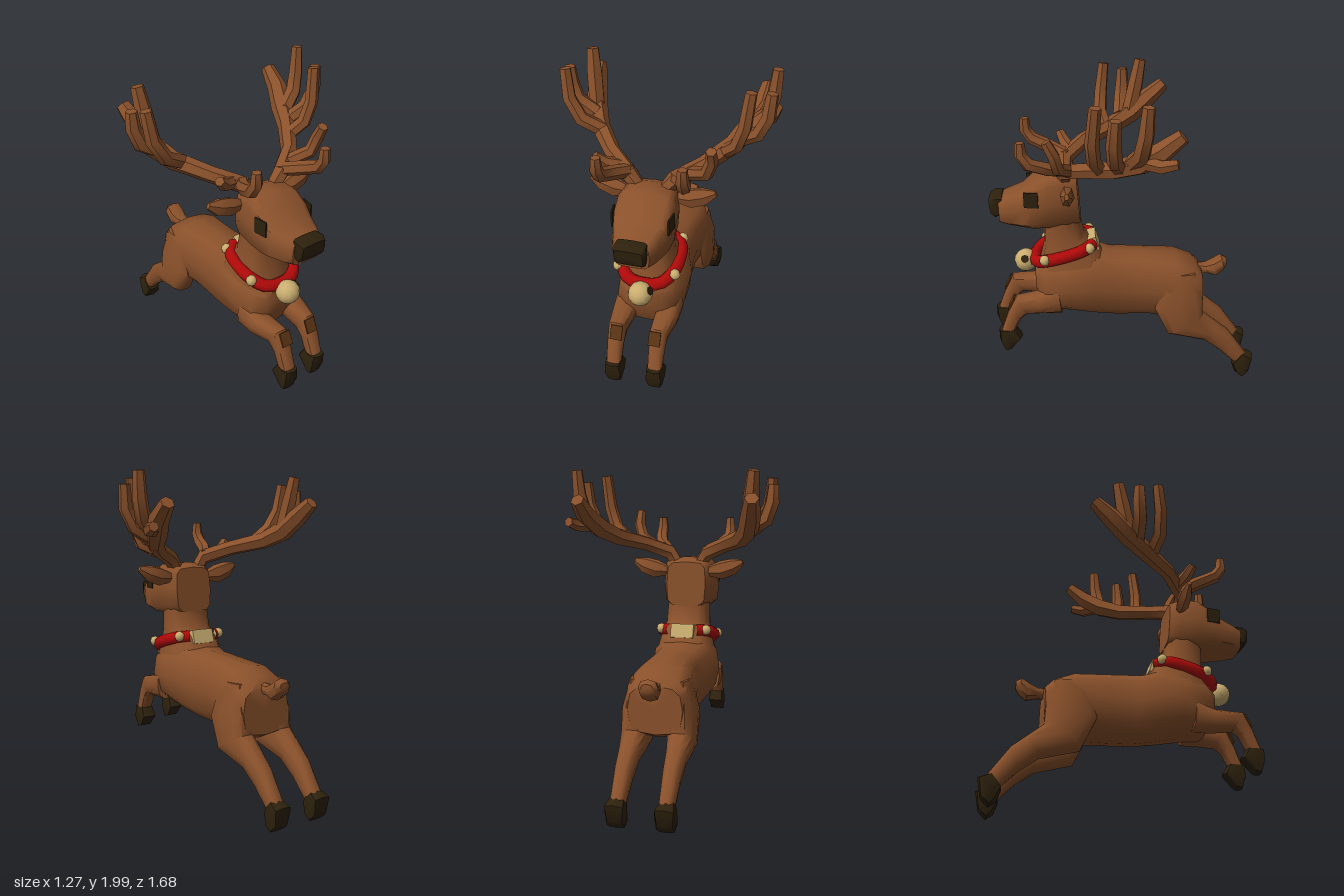
import * as THREE from 'three';
import { toCreasedNormals } from 'three/addons/utils/BufferGeometryUtils.js';

const material = (name, color) => {
  const m = new THREE.MeshStandardMaterial({ color });
  m.name = name;
  return m;
};

// Skins a list of rings (each an array of Vector3) and caps both ends.
function skin(rings) {
  const n = rings[0].length, pos = [], idx = [];
  rings.forEach(r => r.forEach(p => pos.push(p.x, p.y, p.z)));
  for (let i = 0; i < rings.length - 1; i++) {
    for (let j = 0; j < n; j++) {
      const a = i * n + j, b = i * n + (j + 1) % n;
      idx.push(a, b, a + n, b, b + n, a + n);
    }
  }
  [0, rings.length - 1].forEach(k => {
    const c = new THREE.Vector3();
    rings[k].forEach(p => c.addScaledVector(p, 1 / n));
    const ci = pos.length / 3;
    pos.push(c.x, c.y, c.z);
    for (let j = 0; j < n; j++) {
      const a = k * n + j, b = k * n + (j + 1) % n;
      if (k === 0) idx.push(ci, b, a); else idx.push(ci, a, b);
    }
  });
  // Turn the faces outward if the enclosed volume comes out negative
  const v = i => new THREE.Vector3(pos[3 * i], pos[3 * i + 1], pos[3 * i + 2]);
  let volume = 0;
  for (let i = 0; i < idx.length; i += 3) volume += v(idx[i]).dot(v(idx[i + 1]).cross(v(idx[i + 2])));
  if (volume < 0) idx.reverse();
  const g = new THREE.BufferGeometry();
  g.setAttribute('position', new THREE.Float32BufferAttribute(pos, 3));
  g.setIndex(idx);
  return toCreasedNormals(g, 0.8);
}

// Loft of rounded sections: [z1, y1, z2, y2, halfWidth, centreX]
function loft(sections, power = 2.6, sides = 12) {
  const curve = t => Math.sign(t) * Math.abs(t) ** (2 / power);
  return skin(sections.map(([z1, y1, z2, y2, w, cx = 0]) =>
    Array.from({ length: sides }, (_, j) => {
      const a = j / sides * Math.PI * 2, c = curve(Math.cos(a)), s = curve(Math.sin(a));
      return new THREE.Vector3(cx + w * c, (y1 + y2) / 2 + s * (y1 - y2) / 2, (z1 + z2) / 2 + s * (z1 - z2) / 2);
    })));
}

// Round limb through points [x, y, z, radius]
function limb(points, sides = 6) {
  const p = points.map(q => new THREE.Vector3(q[0], q[1], q[2]));
  const u = new THREE.Vector3(0.31, 0.2, 0.93);
  return skin(p.map((c, i) => {
    const t = p[Math.min(i + 1, p.length - 1)].clone().sub(p[Math.max(i - 1, 0)]).normalize();
    u.addScaledVector(t, -u.dot(t)).normalize();
    const w = t.clone().cross(u);
    return Array.from({ length: sides }, (_, j) => {
      const a = j / sides * Math.PI * 2;
      return c.clone().addScaledVector(u, Math.cos(a) * points[i][3]).addScaledVector(w, Math.sin(a) * points[i][3]);
    });
  }));
}

export function createModel() {
  const model = new THREE.Group();
  model.name = 'leapingReindeer';
  const fur = material('brownFur', 0x8a512b);
  const dark = material('darkHoof', 0x2d210d);
  const knee = material('kneeBrown', 0x5a3413);
  const red = material('redCollar', 0xb00909);
  const gold = material('paleGold', 0xcaae70);
  const add = (name, geometry, mat, x = 0, y = 0, z = 0, rx = 0, ry = 0, rz = 0) => {
    const m = new THREE.Mesh(geometry, mat);
    m.name = name;
    m.position.set(x, y, z);
    m.rotation.set(rx, ry, rz);
    model.add(m);
    return m;
  };

  // Torso, neck, head
  add('torso', loft([
    [0.56, 0.82, 0.56, 0.66, 0.11], [0.50, 0.87, 0.50, 0.53, 0.18], [0.36, 0.90, 0.34, 0.52, 0.215],
    [0.20, 0.92, 0.20, 0.49, 0.205], [0.10, 0.89, 0.05, 0.465, 0.18], [-0.10, 0.88, -0.10, 0.46, 0.172],
    [-0.32, 0.86, -0.25, 0.46, 0.195], [-0.44, 0.81, -0.43, 0.44, 0.195], [-0.49, 0.76, -0.49, 0.47, 0.165],
  ], 3), fur);
  add('neck', loft([
    [0.13, 0.88, 0.56, 0.72, 0.19], [0.18, 0.97, 0.53, 0.86, 0.165], [0.25, 1.02, 0.50, 0.98, 0.145],
    [0.27, 1.12, 0.50, 1.10, 0.14], [0.29, 1.28, 0.50, 1.20, 0.14],
  ], 2.9), fur);
  add('head', loft([
    [0.29, 1.41, 0.27, 1.12, 0.13], [0.36, 1.44, 0.34, 1.11, 0.16], [0.47, 1.435, 0.47, 1.10, 0.172],
    [0.56, 1.385, 0.56, 1.10, 0.168], [0.62, 1.33, 0.62, 1.11, 0.155], [0.71, 1.30, 0.71, 1.12, 0.125],
    [0.76, 1.28, 0.76, 1.13, 0.10],
  ], 4.5), fur);
  add('nose', loft([
    [0.74, 1.30, 0.745, 1.18, 0.088], [0.79, 1.30, 0.785, 1.165, 0.092], [0.82, 1.28, 0.81, 1.185, 0.08],
  ], 6), dark);
  add('mouth', new THREE.BoxGeometry(0.12, 0.012, 0.008), dark, 0, 1.155, 0.762);

  // Tail
  add('tail', loft([
    [-0.46, 0.78, -0.47, 0.71, 0.035], [-0.52, 0.775, -0.54, 0.71, 0.045], [-0.57, 0.80, -0.59, 0.695, 0.06],
    [-0.62, 0.83, -0.64, 0.735, 0.058], [-0.655, 0.81, -0.655, 0.765, 0.035],
  ], 2.4, 8), fur);

  // Paired parts
  for (const s of [1, -1]) {
    const side = s > 0 ? 'left' : 'right';
    const at = (x, rows) => rows.map(r => [...r, s * x]);
    add(side + 'Eye', new THREE.BoxGeometry(0.009, 0.095, 0.085), dark, s * 0.167, 1.31, 0.56, 0, s * -0.14, 0);

    const ear = limb([[s * -0.02, 0, 0, 0.03], [s * 0.07, 0.01, 0, 0.062], [s * 0.15, 0.035, 0, 0.055],
      [s * 0.215, 0.065, 0, 0.02]]);
    add(side + 'Ear', ear, fur, s * 0.15, 1.345, 0.345).scale.z = 0.7;

    add(side + 'HindLeg', loft(at(0.14, [
      [-0.44, 0.78, -0.24, 0.78, 0.035], [-0.49, 0.62, -0.18, 0.55, 0.083], [-0.495, 0.49, -0.27, 0.36, 0.085],
      [-0.57, 0.43, -0.51, 0.295, 0.062], [-0.67, 0.35, -0.62, 0.21, 0.053], [-0.79, 0.18, -0.72, 0.11, 0.045],
    ]), 2.8, 10), fur);
    add(side + 'HindHoof', loft(at(0.143, [
      [-0.77, 0.19, -0.705, 0.10, 0.05], [-0.84, 0.165, -0.73, 0.03, 0.066], [-0.82, 0.06, -0.765, 0.005, 0.054],
    ]), 3.2, 8), dark);

    // The right foreleg reaches a little higher and further
    const dz = s > 0 ? 0 : 0.035, dy = s > 0 ? 0 : 0.03;
    const lift = rows => rows.map(([a, b, c, d, w, x]) => [a + dz, b + dy, c + dz, d + dy, w, x]);
    add(side + 'Foreleg', loft([
      ...at(0.13, [[0.42, 0.72, 0.40, 0.53, 0.075], [0.55, 0.67, 0.52, 0.53, 0.07]]),
      ...lift(at(0.12, [[0.69, 0.64, 0.62, 0.52, 0.054], [0.745, 0.53, 0.66, 0.49, 0.049], [0.79, 0.41, 0.71, 0.39, 0.044]])),
    ], 2.8, 10), fur);
    add(side + 'ForeHoof', loft(lift(at(0.12, [
      [0.81, 0.405, 0.70, 0.41, 0.048], [0.81, 0.33, 0.66, 0.35, 0.058], [0.78, 0.26, 0.73, 0.275, 0.045],
    ])), 3.2, 8), dark);
    add(side + 'KneePatch', new THREE.BoxGeometry(0.07, 0.085, 0.009), knee, s * 0.11, 0.592 + dy, 0.719 + dz, -0.47);

    // Small bells on the collar
    [[0.172, 0.912, 0.495], [0.15, 0.975, 0.22]].forEach(([x, y, z], i) =>
      add(side + (i ? 'RearBell' : 'FrontBell'), new THREE.SphereGeometry(0.033, 8, 6), gold, s * x, y, z));
  }

  // Collar, open at the back where the plate sits, and large bell
  const half = [[0.10, 0.87, 0.54], [0.155, 0.905, 0.46], [0.166, 0.935, 0.36], [0.148, 0.962, 0.26], [0.08, 0.972, 0.20]];
  const strap = [...half.map(([x, y, z]) => [-x, y, z]).reverse(), [0, 0.86, 0.56], ...half];
  const path = new THREE.CatmullRomCurve3(strap.map(p => new THREE.Vector3(...p)));
  add('collar', new THREE.TubeGeometry(path, 28, 0.039, 8), red);
  add('collarBackPlate', new THREE.BoxGeometry(0.15, 0.09, 0.06), gold, 0, 0.963, 0.198, 0.3);
  add('largeBell', new THREE.SphereGeometry(0.073, 12, 8), gold, 0, 0.835, 0.622);
  add('bellSlot', new THREE.CylinderGeometry(0.025, 0.025, 0.008, 8), dark, 0.06, 0.87, 0.625, 0, 0, -1.04);

  // Antlers: a beam, then tines
  const tip = 0.034;
  const antlers = {
    left: [
      [[0.08, 1.40, 0.36, 0.042], [0.13, 1.47, 0.36, 0.05], [0.27, 1.53, 0.26, 0.048], [0.40, 1.58, 0.08, 0.055],
        [0.47, 1.64, -0.06, 0.064], [0.52, 1.72, -0.17, 0.06], [0.53, 1.81, -0.28, 0.042]],
      [[0.13, 1.48, 0.34, 0.04], [0.20, 1.515, 0.45, 0.042], [0.235, 1.56, 0.56, 0.04], [0.235, 1.62, 0.60, 0.036], [0.235, 1.69, 0.60, 0.028]],
      [[0.20, 1.50, 0.32, 0.04], [0.32, 1.56, 0.39, 0.04], [0.35, 1.65, 0.41, 0.036], [0.35, 1.73, 0.45, 0.03]],
      [[0.35, 1.56, 0.15, 0.04], [0.44, 1.64, 0.19, 0.042], [0.48, 1.76, 0.20, 0.04], [0.50, 1.96, 0.18, tip]],
      [[0.42, 1.60, 0.05, 0.045], [0.54, 1.67, 0.08, 0.044], [0.59, 1.78, 0.09, 0.042], [0.60, 1.92, 0.08, tip]],
      [[0.46, 1.64, -0.02, 0.05], [0.56, 1.72, -0.06, 0.048], [0.59, 1.84, -0.08, 0.044], [0.60, 1.99, -0.09, tip]],
      [[0.50, 1.66, -0.08, 0.045], [0.58, 1.66, -0.17, 0.04], [0.60, 1.68, -0.25, 0.03]],
    ],
    right: [
      [[-0.08, 1.40, 0.36, 0.042], [-0.13, 1.47, 0.36, 0.05], [-0.27, 1.53, 0.24, 0.048], [-0.40, 1.58, 0.06, 0.055],
        [-0.46, 1.64, -0.06, 0.064], [-0.49, 1.73, -0.17, 0.06], [-0.51, 1.82, -0.28, 0.042]],
      [[-0.13, 1.48, 0.34, 0.04], [-0.20, 1.515, 0.45, 0.042], [-0.235, 1.56, 0.56, 0.04], [-0.235, 1.62, 0.60, 0.036], [-0.235, 1.69, 0.60, 0.028]],
      [[-0.18, 1.49, 0.32, 0.04], [-0.27, 1.52, 0.36, 0.038], [-0.32, 1.57, 0.39, 0.028]],
      [[-0.37, 1.58, 0.10, 0.045], [-0.49, 1.65, 0.13, 0.045], [-0.56, 1.77, 0.12, 0.042], [-0.58, 1.94, 0.10, tip]],
      [[-0.44, 1.63, 0.0, 0.05], [-0.56, 1.70, -0.01, 0.048], [-0.595, 1.80, -0.02, 0.044], [-0.60, 1.90, -0.02, tip]],
      [[-0.46, 1.66, -0.06, 0.05], [-0.48, 1.83, -0.10, 0.05], [-0.495, 1.98, -0.13, 0.038]],
    ],
  };
  for (const [side, paths] of Object.entries(antlers)) {
    paths.forEach((p, i) => add(side + (i ? 'AntlerTine' + i : 'AntlerBeam'), limb(p), fur));
  }
  return model;
}
